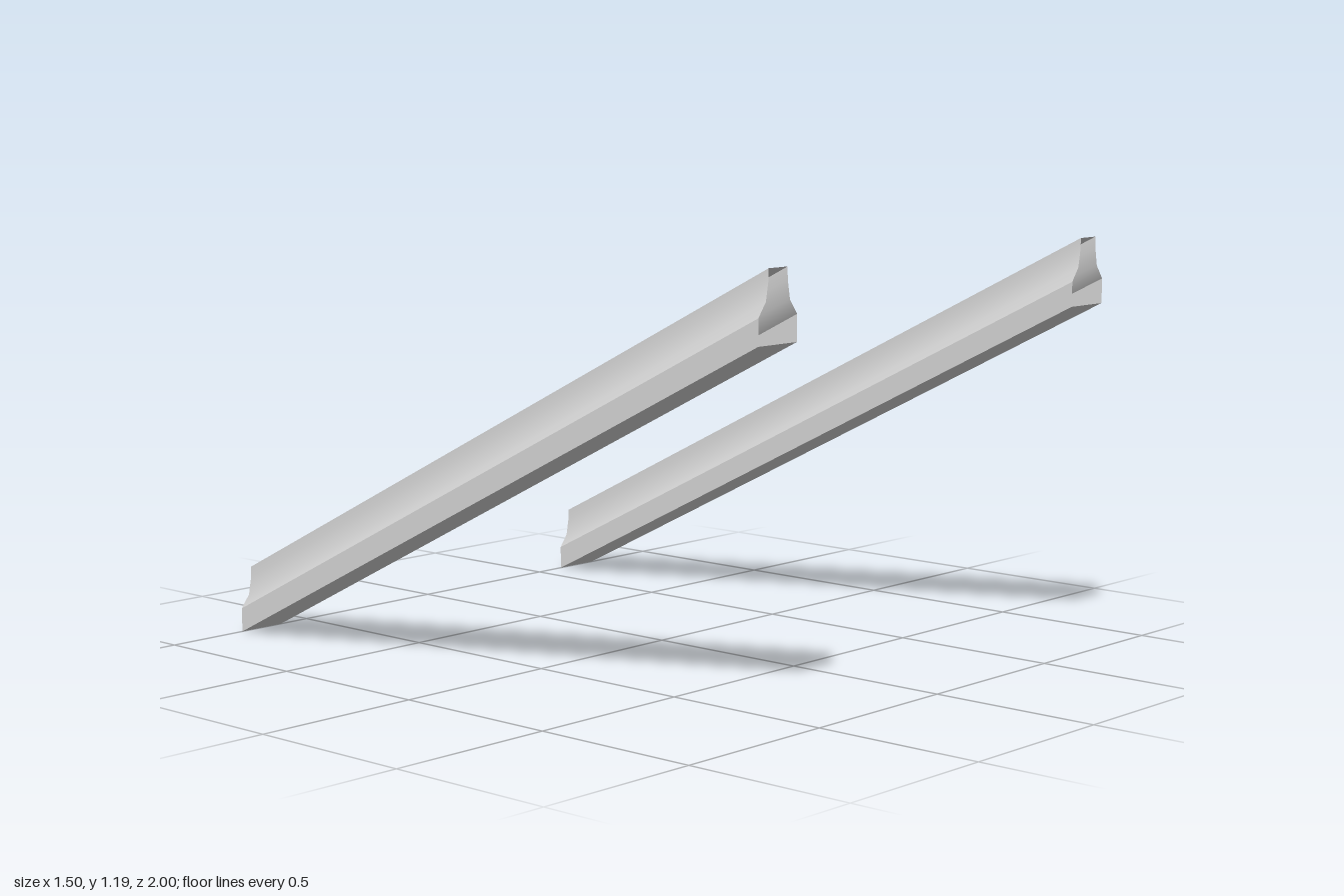
import * as THREE from 'three';

const steel = new THREE.MeshStandardMaterial({ color: 0xd6d6d6, side: THREE.DoubleSide });
steel.name = 'pale grey';

// Sweeps one run of cross-section points (counterclockwise from the front)
// along the slope, which climbs from 0 at the back to 1 at the front.
function slopedStrip(points) {
  const pos = [], index = [];
  points.forEach(([x, y], i) => {
    pos.push(x, y + 1, 1, x, y, -1);
    if (i > 0) {
      const a = (i - 1) * 2;
      index.push(a, a + 1, a + 3, a, a + 3, a + 2);
    }
  });
  const geo = new THREE.BufferGeometry();
  geo.setAttribute('position', new THREE.Float32BufferAttribute(pos, 3));
  geo.setIndex(index);
  geo.computeVertexNormals();
  return geo;
}

const mirrored = (points) => points.map(([x, y]) => [-x, y]).reverse();

function makeRail(name, x) {
  const rail = new THREE.Group();
  rail.name = name;
  const side = [[0.074, 0], [0.074, 0.07]];
  const flank = [[0.074, 0.07], [0.046, 0.108], [0.037, 0.158], [0.036, 0.19]];
  // Each strip is smooth within itself and meets its neighbours at a sharp edge; ends stay open
  const strips = {
    leftSide: side,
    leftFlank: flank,
    top: [[0.036, 0.19], [-0.036, 0.19]],
    rightFlank: mirrored(flank),
    rightSide: mirrored(side),
    bottom: [[-0.074, 0], [0.074, 0]],
  };
  for (const [part, points] of Object.entries(strips)) {
    const mesh = new THREE.Mesh(slopedStrip(points), steel);
    mesh.name = part;
    rail.add(mesh);
  }
  rail.position.x = x;
  return rail;
}

export function createModel() {
  const model = new THREE.Group();
  model.name = 'slopedRails';
  model.add(makeRail('leftRail', 0.674), makeRail('rightRail', -0.674));
  return model;
}
